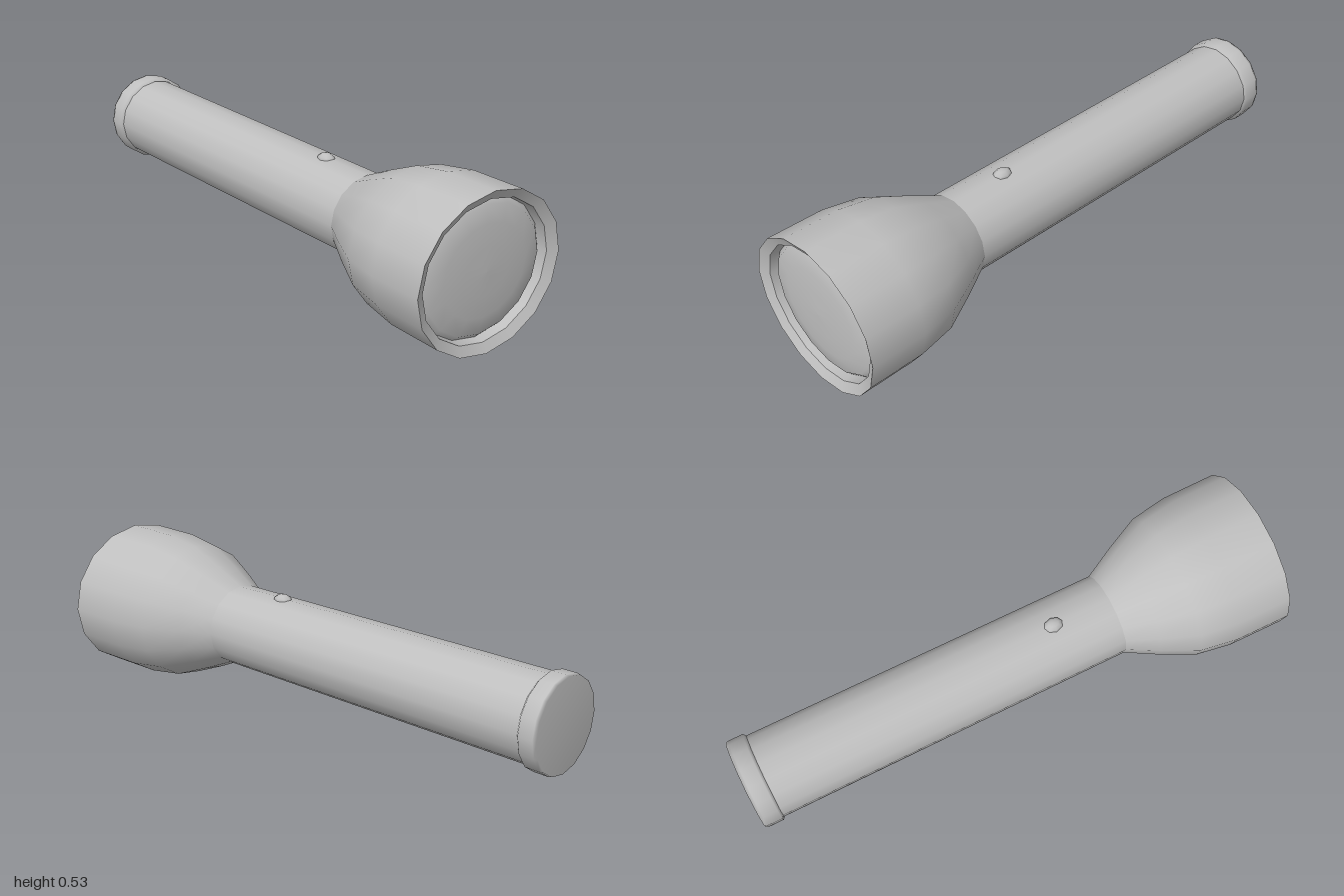
import * as THREE from 'three';

const SIDES = 16;

// Turned part along +x; each profile point is [position, radius, height factor]
function turned(name, profile, material) {
  const points = profile.map(([s, r]) => new THREE.Vector2(r, s));
  const geometry = new THREE.LatheGeometry(points, SIDES);
  geometry.rotateZ(-Math.PI / 2);
  // flatten each ring vertically, giving slightly oval sections
  const pos = geometry.attributes.position;
  for (let i = 0; i < pos.count; i++) {
    pos.setY(i, pos.getY(i) * profile[i % profile.length][2]);
  }
  const mesh = new THREE.Mesh(geometry, material);
  mesh.name = name;
  return mesh;
}

export function createModel() {
  const grey = new THREE.MeshStandardMaterial({ color: 0xbfbfbf });
  grey.name = 'grey';

  const torch = new THREE.Group();
  torch.name = 'flashlight';

  // End cap with a flat back and a short shoulder
  torch.add(turned('tailCap', [
    [0, 0, 1], [0, 0.158, 1], [0.012, 0.161, 1], [0.063, 0.161, 1], [0.072, 0.15, 1],
  ], grey));

  // Long handle
  torch.add(turned('handle', [[0.06, 0.152, 0.97], [1.377, 0.149, 0.955]], grey));

  // Flared head
  torch.add(turned('head', [
    [1.377, 0.149, 0.955], [1.483, 0.207, 0.925], [1.61, 0.27, 0.905],
    [1.744, 0.292, 0.905], [1.948, 0.294, 0.905],
  ], grey));

  // Sloping inner lip and the wall behind it
  torch.add(turned('rim', [[1.948, 0.294, 0.905], [1.93, 0.259, 0.905]], grey));
  torch.add(turned('innerWall', [[1.93, 0.259, 0.905], [1.895, 0.254, 0.905]], grey));

  // Shallow domed lens
  torch.add(turned('lens', [
    [1.895, 0.255, 0.905], [1.914, 0.235, 0.905], [1.924, 0.17, 0.905],
    [1.929, 0.09, 0.905], [1.931, 0, 0.905],
  ], grey));

  // Switch button on top of the handle
  const button = new THREE.Mesh(new THREE.SphereGeometry(1, 8, 6), grey);
  button.name = 'switchButton';
  button.scale.set(0.037, 0.024, 0.028);
  button.position.set(1.163, 0.135, 0);
  torch.add(button);

  // Lay the flashlight at a slant across the ground
  torch.rotation.y = -THREE.MathUtils.degToRad(12.8);
  torch.position.set(-0.965, 0.267, -0.285);

  const model = new THREE.Group();
  model.name = 'model';
  model.add(torch);
  return model;
}
